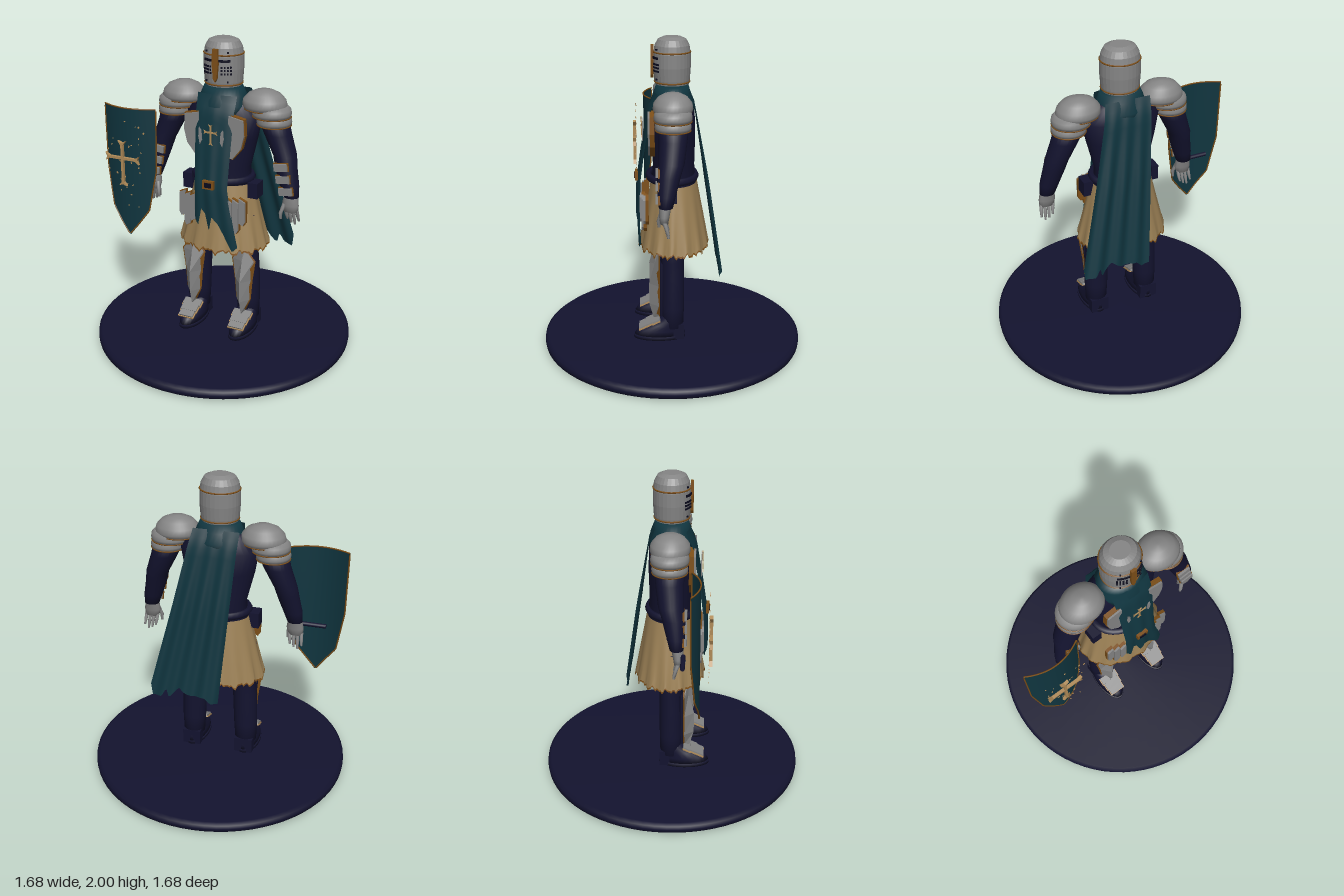
import * as THREE from 'three';

const mat = (name, hex) => new THREE.MeshStandardMaterial({ name, color: hex, side: THREE.DoubleSide });
const navy = mat('navy cloth', 0x13132f), steel = mat('steel', 0x858585), teal = mat('teal cloth', 0x10353f);
const tan = mat('tan linen', 0x9b8055), bronze = mat('bronze', 0x7d4f18), sand = mat('pale gold', 0xb08b58);
const dark = mat('dark slit', 0x0a0a1c);

// Piecewise linear lookup through [t, value] pairs
function at(pts, t) {
  for (let i = 1; i < pts.length; i++) {
    const [a, p] = pts[i - 1], [b, q] = pts[i];
    if (t <= b) return p + (q - p) * Math.max(0, (t - a) / (b - a));
  }
  return pts[pts.length - 1][1];
}

function build(pos, index, flat) {
  let g = new THREE.BufferGeometry();
  g.setAttribute('position', new THREE.Float32BufferAttribute(pos, 3));
  g.setIndex(index);
  if (flat) g = g.toNonIndexed();
  g.computeVertexNormals();
  return g;
}

// Elliptical rings from bottom to top: [x, y, z, rx, rz], closed with end caps
function loft(rings, seg = 24, flat = false) {
  const pos = [], index = [];
  const all = [rings[0], ...rings, rings[rings.length - 1]];
  all.forEach(([x, y, z, rx, rz], i) => {
    const k = i === 0 || i === all.length - 1 ? 0.001 : 1;
    for (let j = 0; j < seg; j++) {
      const a = j / seg * Math.PI * 2;
      pos.push(x + rx * k * Math.cos(a), y, z + rz * k * Math.sin(a));
    }
  });
  for (let i = 0; i < all.length - 1; i++) for (let j = 0; j < seg; j++) {
    const k = (j + 1) % seg, a = i * seg + j, b = a + seg, c = i * seg + k, d = c + seg;
    index.push(a, b, c, b, d, c);
  }
  return build(pos, index, flat);
}

// Open sheet; fn(u, v) gives a point, u left to right and v top to bottom
function sheet(fn, nu, nv, flat = false) {
  const pos = [], index = [];
  for (let i = 0; i <= nv; i++) for (let j = 0; j <= nu; j++) pos.push(...fn(j / nu, i / nv));
  for (let i = 0; i < nv; i++) for (let j = 0; j < nu; j++) {
    const a = i * (nu + 1) + j, b = a + nu + 1;
    index.push(a, b, a + 1, b, b + 1, a + 1);
  }
  return build(pos, index, flat);
}

const plate = (pts, z, depth) => new THREE.ExtrudeGeometry(
  new THREE.Shape(pts.map(p => new THREE.Vector2(...p))), { depth, bevelEnabled: false }).translate(0, 0, z);

const ring = (x, y, z, rx, rz, t) => new THREE.TorusGeometry(1, t / rx, 6, 32).rotateX(Math.PI / 2)
  .scale(rx, rx, rz).translate(x, y, z);

const box = (w, h, d, x, y, z, rx = 0, rz = 0) => new THREE.BoxGeometry(w, h, d).rotateX(rx).rotateZ(rz).translate(x, y, z);

// Cross with forked arm ends; arms are up, left, down, right
function cross(x, y, arms, t, f) {
  const pts = [];
  arms.forEach((L, i) => {
    const c = Math.cos(i * Math.PI / 2), s = Math.sin(i * Math.PI / 2);
    [[t, t], [t, L - f], [f, L], [0, L - f * 0.4], [-f, L], [-t, L - f]]
      .forEach(([a, b]) => pts.push([x + a * c - b * s, y + a * s + b * c]));
  });
  return pts;
}

export function createModel() {
  const model = new THREE.Group();
  const add = (name, geo, m) => {
    const mesh = new THREE.Mesh(geo, m);
    mesh.name = name;
    model.add(mesh);
  };

  // Base
  add('base', new THREE.LatheGeometry([[0, 0], [0.815, 0], [0.835, 0.015], [0.838, 0.035], [0.835, 0.058], [0.815, 0.073], [0, 0.073]]
    .map(p => new THREE.Vector2(...p)), 72), navy);

  // Torso, belt, buckle
  add('torso', loft([[0, 0.85, 0, 0.17, 0.12], [0, 1.08, -0.01, 0.18, 0.14], [0, 1.2, -0.01, 0.175, 0.13], [0, 1.4, -0.005, 0.225, 0.14],
    [0, 1.54, -0.01, 0.25, 0.13], [0, 1.63, -0.01, 0.17, 0.1], [0, 1.7, 0, 0.09, 0.08]], 32), navy);
  add('belt', ring(0, 1.13, 0, 0.185, 0.15, 0.024), navy);
  add('buckle', box(0.075, 0.055, 0.02, 0, 1.13, 0.225), bronze);
  add('buckleCentre', box(0.045, 0.03, 0.008, 0, 1.13, 0.236), dark);

  // Skirt with ripples and a ragged hem
  const skirt = (v0, v1) => sheet((u, v) => {
    const a = (u - 0.75) * -Math.PI * 2 + Math.PI, w = v0 + (v1 - v0) * v;
    const hem = 0.018 * Math.sin(a * 23) * Math.sin(a * 7 + 1) + 0.008 * Math.sin(a * 51);
    const k = 1 + 0.025 * w * Math.sin(a * 14);
    return [(0.195 + 0.1 * w) * k * Math.cos(a), 1.1 - 0.425 * w + hem * w ** 6, -0.012 + (0.145 + 0.078 * w) * k * Math.sin(a)];
  }, 144, 8);
  add('skirt', skirt(0, 0.975), tan);
  add('skirtHem', skirt(0.975, 1), bronze);

  // Cowl, tabard and cape
  add('cowl', loft([[0, 1.54, 0, 0.17, 0.14], [0, 1.6, 0, 0.165, 0.14], [0, 1.66, 0, 0.145, 0.115], [0, 1.705, 0, 0.125, 0.1]], 32), teal);
  const tabardZ = [[0.6, 0.21], [0.85, 0.225], [1.1, 0.222], [1.3, 0.195], [1.57, 0.152], [1.66, 0.11]];
  const tabardHem = [[0, 0.88], [0.1, 0.85], [0.2, 0.96], [0.3, 0.93], [0.38, 0.82], [0.5, 0.92], [0.62, 0.88], [0.74, 0.8], [0.88, 0.7], [1, 0.73]];
  add('tabard', sheet((u, v) => {
    const y = 1.67 + (at(tabardHem, u) - 1.67) * v;
    const l = at([[0.7, -0.1], [1.1, -0.105], [1.67, -0.13]], y), r = at([[0.7, 0.19], [1.1, 0.115], [1.67, 0.13]], y);
    return [l + (r - l) * u, y, at(tabardZ, y) - 0.02 * (2 * u - 1) ** 2 + 0.006 * v * Math.sin(u * 16)];
  }, 40, 20), teal);
  const capeHem = [[0, 0.66], [0.06, 0.58], [0.2, 0.59], [0.24, 0.65], [0.3, 0.58], [0.42, 0.66], [0.6, 0.61], [0.8, 0.62], [0.9, 0.57], [1, 0.59]];
  add('cape', sheet((u, v) => {
    const y = 1.68 + (at(capeHem, u) - 1.68) * v, t = (1.68 - y) / 1.1;
    const l = -0.15 + 0.08 * t, r = at([[0, 0.14], [0.45, 0.25], [1, 0.395]], t);
    return [r + (l - r) * u, y, at([[0, -0.1], [0.08, -0.138], [0.45, -0.205], [1, -0.295]], t) + 0.012 * Math.min(1, t * 2) * Math.sin(u * 22)];
  }, 48, 20), teal);
  add('chestEmblem', plate(cross(0, 1.455, [0.05, 0.045, 0.08, 0.045], 0.005, 0.014), 0.188, 0.006), sand);

  // Helmet
  const dome = [[1.715, 0.114], [1.74, 0.119], [1.82, 0.125], [1.9, 0.124], [1.95, 0.115], [1.985, 0.095], [2, 0.06]];
  add('helmet', loft(dome.map(([y, r]) => [0, y, 0, r, r * 0.92]), 28, true), steel);
  add('helmetLowerBand', ring(0, 1.728, 0, 0.117, 0.108, 0.005), bronze);
  add('helmetBrowBand', ring(0, 1.91, 0, 0.123, 0.113, 0.005), bronze);
  add('noseBar', plate([[-0.012, 1.77], [0, 1.75], [0.012, 1.77], [0.02, 1.86], [0.017, 1.95], [-0.017, 1.95], [-0.02, 1.86]], 0.112, 0.018), bronze);

  // Helmet details wrap around the front; a is measured from +z
  const onFace = (w, h, a, y) => new THREE.BoxGeometry(w, h, 0.008).rotateY(a)
    .translate(0.125 * Math.sin(a), y, 0.116 * Math.cos(a));
  for (const s of [-1, 1]) {
    for (const a of [0.25, 0.45, 0.63]) add('eyeSlit', onFace(0.026, 0.014, s * a, 1.878), dark);
    for (let i = 0; i < 4; i++) for (let j = 0; j < 3; j++)
      add('breathHole', onFace(0.01, 0.011, s * (0.3 + i * 0.15), 1.8 + j * 0.02), dark);
    for (const y of [1.75, 1.93]) add('rivet', onFace(0.01, 0.01, s * 0.6, y), dark);
  }

  for (const s of [-1, 1]) {
    const mx = pts => pts.map(([x, y]) => [x * s, y]);
    const limb = (rings, seg, flat) => loft(rings.map(([x, ...r]) => [x * s, ...r]), seg, flat);

    // Chest plates
    const chest = [[0.09, 1.3], [0.125, 1.29], [0.18, 1.36], [0.2, 1.44], [0.195, 1.54], [0.1, 1.56]];
    add('chestPlate', plate(mx(chest), 0.11, 0.04), steel);
    add('chestPlateTrim', plate(mx(chest.map(([x, y]) => [0.14 + (x - 0.14) * 1.1, 1.43 + (y - 1.43) * 1.05])), 0.108, 0.03), bronze);
    add('tabardClasp', plate(mx([[0.06, 1.4], [0.075, 1.37], [0.085, 1.42], [0.08, 1.48], [0.065, 1.46]]), 0.18, 0.006), steel);

    // Layered pauldrons
    add('shoulderDome', limb([[0.275, 1.59, 0, 0.13, 0.11], [0.272, 1.615, 0, 0.14, 0.12], [0.27, 1.65, 0, 0.132, 0.115],
      [0.27, 1.685, 0, 0.1, 0.087], [0.27, 1.705, 0, 0.055, 0.05], [0.27, 1.711, 0, 0.01, 0.01]], 32), steel);
    [[0.318, 1.55, 0.122, 0.115], [0.335, 1.5, 0.108, 0.108]].forEach(([x, y, rx, rz]) => {
      add('shoulderLame', limb([[x, y, 0, rx - 0.005, rz - 0.005], [x, y + 0.02, 0, rx, rz], [x, y + 0.045, 0, rx - 0.004, rz - 0.004],
        [x - 0.01, y + 0.068, 0, rx * 0.86, rz * 0.86]], 32), steel);
      add('shoulderTrim', ring(x * s, y, 0, rx - 0.004, rz - 0.004, 0.004), bronze);
    });
    add('shoulderTrim', ring(0.275 * s, 1.592, 0, 0.131, 0.111, 0.004), bronze);

    // Arm, forearm plates and gauntlet
    add('arm', limb([[0.475, 1.07, 0.045, 0.048, 0.042], [0.46, 1.14, 0.04, 0.06, 0.055], [0.43, 1.25, 0.025, 0.068, 0.07],
      [0.415, 1.32, 0.01, 0.072, 0.076], [0.36, 1.45, 0, 0.085, 0.085], [0.32, 1.57, 0, 0.1, 0.09]], 24), navy);
    [[0.42, 1.265], [0.435, 1.19], [0.455, 1.115]].forEach(([x, y]) => {
      add('forearmPlate', box(0.085, 0.045, 0.03, x * s, y, 0.09, 0, 0.12 * s), steel);
      add('forearmTrim', box(0.095, 0.055, 0.012, x * s, y, 0.084, 0, 0.12 * s), bronze);
    });
    add('palm', limb([[0.48, 0.975, 0.055, 0.046, 0.024], [0.475, 1.02, 0.055, 0.055, 0.032], [0.475, 1.07, 0.05, 0.046, 0.036],
      [0.474, 1.095, 0.046, 0.044, 0.038]], 14), steel);
    for (let i = 0; i < 4; i++) {
      const x = 0.442 + i * 0.025, drop = [0.03, 0.01, 0, 0.025][i];
      add('finger', limb([[x + 0.008, 0.885 + drop, 0.03, 0.007, 0.008], [x + 0.004, 0.93 + drop / 2, 0.04, 0.011, 0.011],
        [x, 0.99, 0.055, 0.012, 0.014]], 8), steel);
    }
    add('thumb', limb([[0.425, 0.93, 0.085, 0.008, 0.009], [0.425, 0.97, 0.088, 0.012, 0.012], [0.442, 1.03, 0.07, 0.014, 0.014]], 8), steel);

    // Belt pouch and hip plates
    add('pouch', box(0.065, 0.1, 0.09, 0.225 * s, 1.07, 0.02), navy);
    [[0.125, 0.95, 0.15], [0.165, 0.93, 0.19], [0.205, 0.96, 0.14]].forEach(([x, y, h], i) => {
      const slat = [[x - 0.02, y - h / 2], [x + 0.006, y - h / 2 - 0.015], [x + 0.02, y - h / 2 + 0.01], [x + 0.02, y + h / 2], [x - 0.02, y + h / 2 + 0.02]];
      add('hipPlate', plate(mx(slat), 0.175 - i * 0.012, 0.03), steel);
      add('hipPlateTrim', plate(mx(slat.map(([a, b]) => [x + (a - x) * 1.2, y + (b - y) * 1.05])), 0.172 - i * 0.012, 0.02), bronze);
    });

    // Leg, faceted greave and boot
    add('leg', limb([[0.18, 0.17, 0, 0.07, 0.07], [0.178, 0.3, 0, 0.077, 0.073], [0.172, 0.5, 0, 0.079, 0.073], [0.165, 0.62, 0, 0.076, 0.072],
      [0.15, 0.9, 0, 0.09, 0.09]], 24), navy);
    const greave = (k, dz) => sheet((u, v) => {
      const y = [0.68, 0.6, 0.46, 0.32, 0.225][Math.round(v * 4)], e = 2 * u - 1;
      const w = at([[0.225, 0.01], [0.32, 0.045], [0.46, 0.055], [0.6, 0.072], [0.68, 0.012]], y);
      const r = at([[0.225, 0.035], [0.32, 0.06], [0.46, 0.062], [0.6, 0.025], [0.68, 0.02]], y);
      return [0.178 * s + w * k * e, y, 0.088 + dz + r * (1 - Math.abs(e))];
    }, 2, 4, true);
    add('greave', greave(1, 0), steel);
    add('greaveTrim', greave(1.15, -0.008), bronze);
    add('greaveBack', limb([[0.178, 0.24, 0.07, 0.03, 0.015], [0.178, 0.6, 0.07, 0.065, 0.02]], 12), navy);
    add('sole', limb([[0.18, 0.093, 0.085, 0.078, 0.165], [0.18, 0.115, 0.085, 0.078, 0.165]], 24), navy);
    add('boot', limb([[0.18, 0.112, 0.085, 0.073, 0.162], [0.18, 0.15, 0.075, 0.072, 0.15], [0.18, 0.185, 0.045, 0.068, 0.112],
      [0.18, 0.22, 0.01, 0.066, 0.078], [0.18, 0.25, 0, 0.066, 0.068]], 24), navy);
    add('heel', box(0.12, 0.1, 0.08, 0.18 * s, 0.145, -0.033), navy);
    [[0.178, 0.19], [0.2, 0.15], [0.22, 0.105]].forEach(([y, z], i) => {
      const w = 0.1 + i * 0.012;
      add('bootPlate', box(w, 0.014, 0.05, 0.18 * s, y, z, 0.45), steel);
      add('bootPlateTrim', box(w + 0.012, 0.008, 0.054, 0.18 * s, y - 0.008, z, 0.45), sand);
    });
  }

  // Shield: bowed sheet with bronze rim, raised cross and worn flecks
  const cx = -0.592, half = [[0.67, 0.004], [0.85, 0.132], [1.12, 0.178], [1.53, 0.184]];
  const shieldPoint = (u, y) => {
    const e = 2 * u - 1, w = at(half, y);
    return [cx + w * e, y, 0.13 + 0.055 * (1 - (w * e / 0.184) ** 2)];
  };
  add('shield', sheet((u, v) => shieldPoint(u, 1.53 - 0.86 * v), 16, 24), teal);
  const rim = [];
  for (let i = 0; i < 12; i++) rim.push(shieldPoint(i / 12, 1.53));
  for (const y of [1.53, 1.3, 1.12, 0.98, 0.85, 0.76]) rim.push(shieldPoint(1, y));
  for (const y of [0.67, 0.76, 0.85, 0.98, 1.12, 1.3]) rim.push(shieldPoint(0, y));
  const path = new THREE.CurvePath();
  rim.forEach((p, i) => path.add(new THREE.LineCurve3(new THREE.Vector3(...p), new THREE.Vector3(...rim[(i + 1) % rim.length]))));
  add('shieldRim', new THREE.TubeGeometry(path, 120, 0.005, 5, true), bronze);
  add('shieldCross', plate(cross(cx, 1.22, [0.115, 0.12, 0.185, 0.12], 0.008, 0.028), 0.236, 0.02), sand);
  let seed = 7;
  const rand = () => (seed = seed * 16807 % 2147483647) / 2147483647;
  for (let i = 0; i < 32; i++) {
    const y = 0.9 + rand() * 0.58, x = cx + (rand() * 2 - 1) * at(half, y) * 0.85;
    add('shieldFleck', box(0.004 + rand() * 0.008, 0.004 + rand() * 0.006, 0.004, x, y, 0.237, 0, rand() * 3), sand);
  }
  add('shieldGrip', new THREE.CylinderGeometry(0.014, 0.014, 0.16, 10).rotateZ(Math.PI / 2).translate(-0.585, 1.04, 0.085), navy);

  return model;
}
